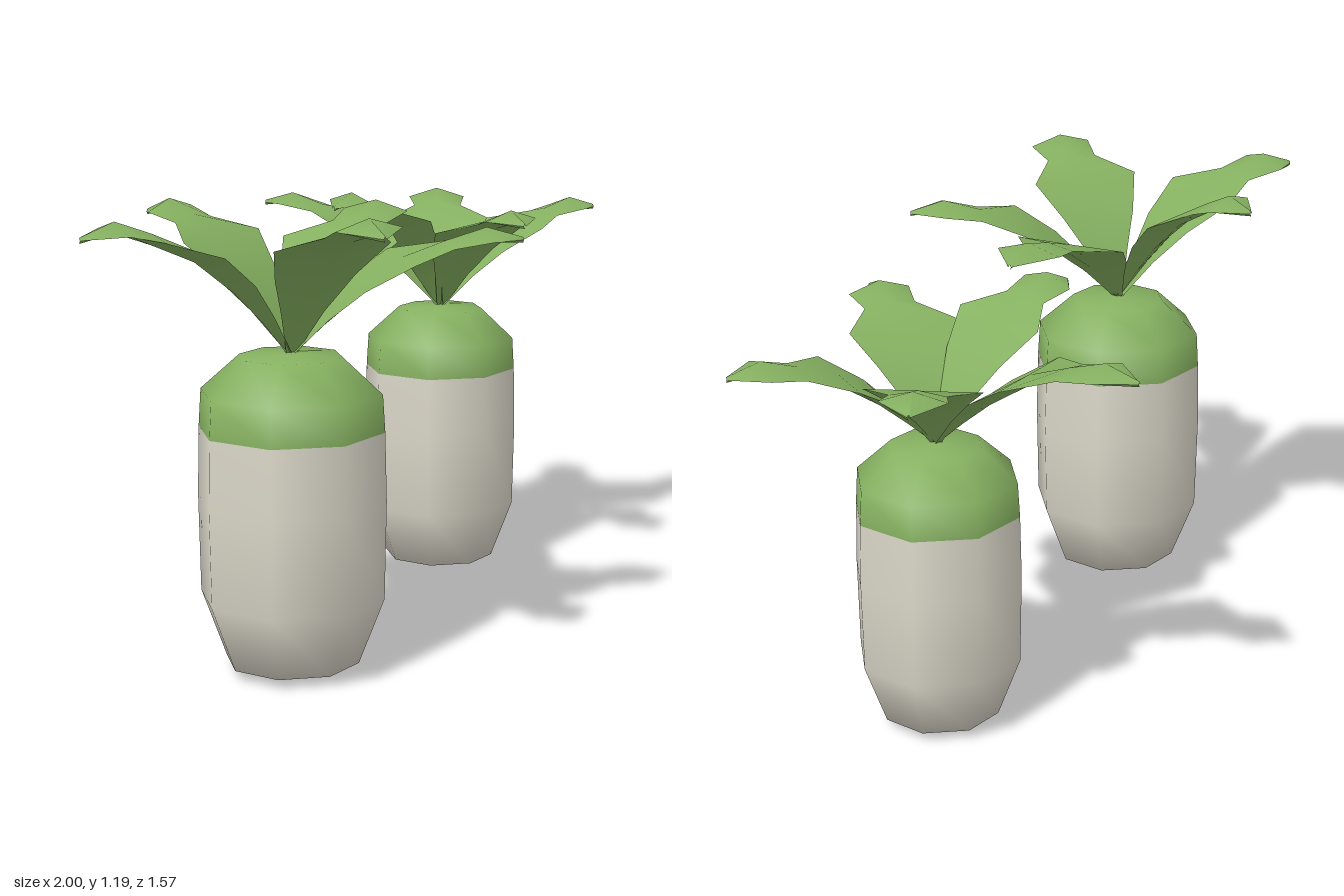
import * as THREE from 'three';

const green = new THREE.MeshStandardMaterial({ color: 0x85b060 });
green.name = 'leaf green';
const cream = new THREE.MeshStandardMaterial({ color: 0xdcd8ca });
cream.name = 'root cream';

// Root profiles as [radius, height]
const lowerRoot = [[0, 0.005], [0.17, 0.03], [0.235, 0.2], [0.24, 0.45], [0.236, 0.625]];
const upperRoot = [[0.236, 0.625], [0.23, 0.72], [0.13, 0.81], [0, 0.82]];

// Leaf stations: [distance, half width, rise, edge lift], all but width as fractions
const stations = [
  [0, 0.012, 0, 0], [0.14, 0.06, 0.28, 0.012], [0.28, 0.11, 0.52, 0.018],
  [0.47, 0.158, 0.76, 0.015], [0.67, 0.075, 0.9, 0], [0.84, 0.09, 1, -0.012], [1, 0.004, 0.93, 0],
];

function lathe(profile, material, name) {
  const points = profile.map(([r, y]) => new THREE.Vector2(r, y));
  const mesh = new THREE.Mesh(new THREE.LatheGeometry(points, 8), material);
  mesh.name = name;
  return mesh;
}

// A lobed, arching leaf: a ridged upper sheet and a lower sheet sharing the outline
function leaf(dx, dz, rise, widthScale) {
  const length = Math.hypot(dx, dz);
  const sx = dz / length, sz = -dx / length;
  const positions = [], index = [];
  for (const sheet of [1, -1]) {
    const base = positions.length / 3;
    for (const [t, halfWidth, h, lift] of stations) {
      const thick = 0.014 * Math.min(1, t * 5) * (t === 1 ? 0.5 : 1);
      for (const side of [-1, 0, 1]) {
        const w = side * halfWidth * widthScale;
        const y = h * rise + (side ? lift : sheet * thick);
        positions.push(dx * t + sx * w, y, dz * t + sz * w);
      }
    }
    for (let i = 0; i < stations.length - 1; i++) {
      for (let j = 0; j < 2; j++) {
        const a = base + i * 3 + j, b = a + 3, c = a + 4, d = a + 1;
        if (sheet > 0) index.push(a, b, c, a, c, d);
        else index.push(a, c, b, a, d, c);
      }
    }
  }
  const geometry = new THREE.BufferGeometry();
  geometry.setAttribute('position', new THREE.Float32BufferAttribute(positions, 3));
  geometry.setIndex(index);
  geometry.computeVertexNormals();
  const mesh = new THREE.Mesh(geometry, green);
  mesh.name = 'leaf';
  return mesh;
}

// One plant: two-tone root with a crown of leaves given as [tip x, tip z, rise]
function plant(name, x, z, radiusScale, heightScale, leaves) {
  const group = new THREE.Group();
  group.name = name;
  group.position.set(x, 0, z);

  const root = new THREE.Group();
  root.name = 'root';
  root.add(lathe(lowerRoot, cream, 'lowerRoot'), lathe(upperRoot, green, 'upperRoot'));
  root.scale.set(radiusScale, heightScale, radiusScale);

  const crown = new THREE.Group();
  crown.name = 'crown';
  crown.position.y = 0.81 * heightScale;
  for (const [dx, dz, rise] of leaves) crown.add(leaf(dx, dz, rise, radiusScale));

  group.add(root, crown);
  return group;
}

export function createModel() {
  const model = new THREE.Group();
  model.name = 'rootVegetables';
  model.add(
    plant('largePlant', -0.44, 0.32, 1, 1, [
      [-0.56, -0.03, 0.35], [-0.17, -0.4, 0.35], [0.56, -0.37, 0.305],
      [0.54, 0.23, 0.29], [-0.04, 0.46, 0.37],
    ]),
    plant('smallPlant', 0.465, -0.29, 0.91, 0.935, [
      [0.53, 0.04, 0.275], [0.275, -0.4, 0.28], [-0.275, -0.5, 0.29],
      [-0.435, 0.1, 0.35], [-0.035, 0.43, 0.305],
    ]),
  );
  return model;
}
